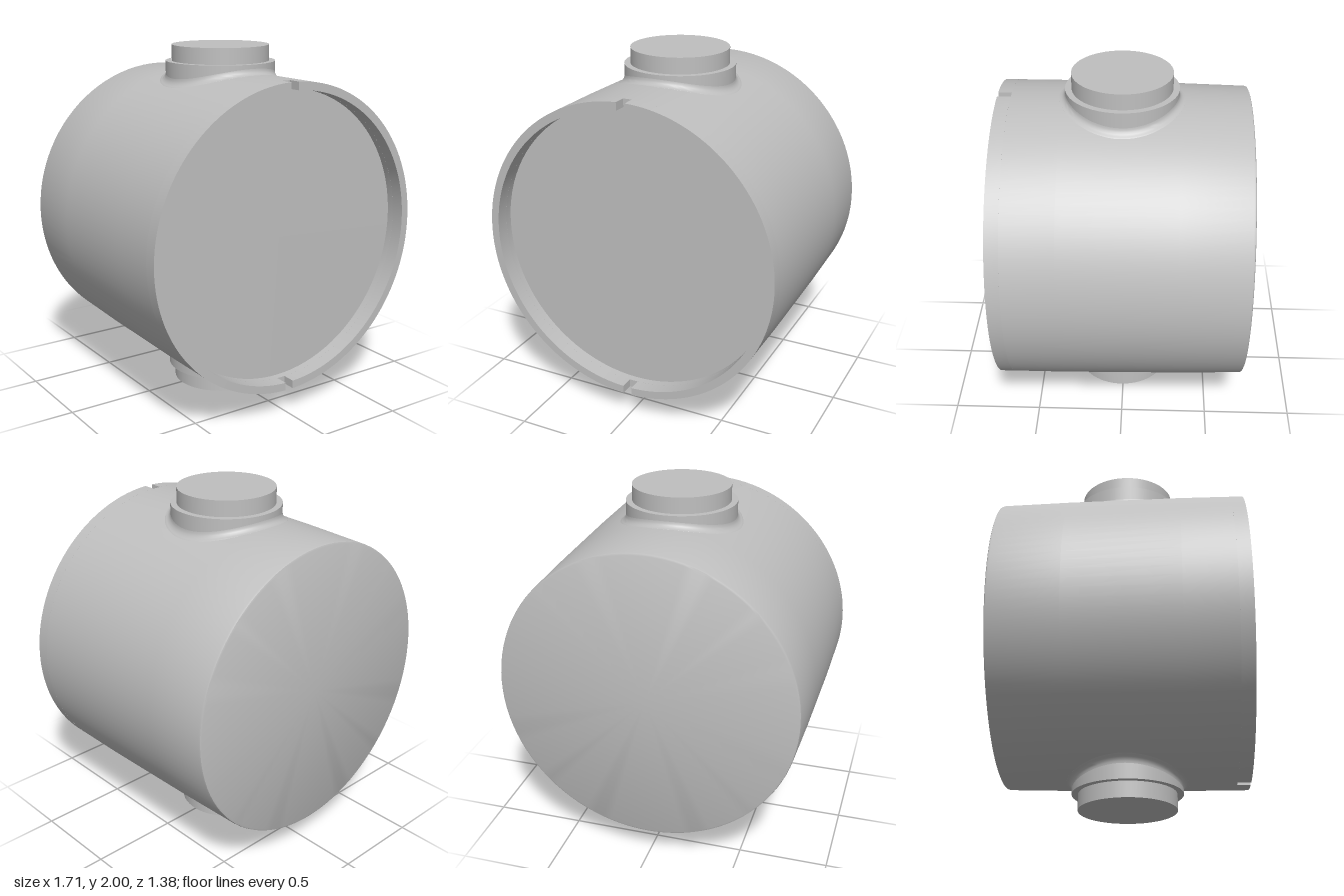
import * as THREE from 'three';
import { toCreasedNormals } from 'three/addons/utils/BufferGeometryUtils.js';

const R = 0.855, INNER = 0.81, FRONT = 0.69, NOTCH_Z = 0.615, FLOOR_Z = 0.575;
const STUB_Z = 0.01, COLLAR_R = 0.31, CAP_R = 0.275;

// Outer radius of the slightly tapered drum at depth z
function drumRadius(z) {
  if (z > 0.33) return R;
  if (z > -0.3) return THREE.MathUtils.mapLinear(z, -0.3, 0.33, 0.846, R);
  return THREE.MathUtils.mapLinear(z, -0.68, -0.3, 0.836, 0.846);
}

// Round stub with a stepped cap and a small fillet that follows the drum
function makeStub(material) {
  const stub = new THREE.Group();
  const profile = [new THREE.Vector2(COLLAR_R + 0.045, -0.015)];
  for (let i = 0; i <= 5; i++) {
    const t = (i / 5) * Math.PI / 2;
    profile.push(new THREE.Vector2(COLLAR_R + 0.032 * (1 - Math.sin(t)), 0.032 * (1 - Math.cos(t))));
  }
  const fillet = new THREE.LatheGeometry(profile, 64);
  const p = fillet.attributes.position;
  for (let i = 0; i < p.count; i++) {
    const r = drumRadius(p.getZ(i) + STUB_Z);
    p.setY(i, p.getY(i) + Math.sqrt(r * r - p.getX(i) ** 2));
  }
  const add = (name, geometry, y) => {
    const mesh = new THREE.Mesh(geometry, material);
    mesh.name = name;
    mesh.position.set(0, y, STUB_Z);
    stub.add(mesh);
  };
  add('stubFillet', toCreasedNormals(fillet, 0.6), 0);
  add('stubCollar', new THREE.CylinderGeometry(COLLAR_R, COLLAR_R, 0.21, 64), 0.805);
  add('stubCap', new THREE.CylinderGeometry(CAP_R, CAP_R, 0.2, 64), 0.9);
  return stub;
}

export function createModel() {
  const model = new THREE.Group();
  const grey = new THREE.MeshStandardMaterial({ color: 0xbfbfbf });
  grey.name = 'grey';

  // Drum: flat back with a small bevel, tapered side, shallow front recess
  const drumProfile = [
    [0, -0.69], [0.824, -0.69], [0.833, -0.686], [0.836, -0.677], [0.846, -0.3],
    [R, 0.33], [R, NOTCH_Z], [INNER, NOTCH_Z], [INNER, FLOOR_Z], [0, FLOOR_Z],
  ].map(([x, y]) => new THREE.Vector2(x, y));
  const drumGeometry = new THREE.LatheGeometry(drumProfile, 96);
  drumGeometry.rotateX(Math.PI / 2);
  const drum = new THREE.Mesh(toCreasedNormals(drumGeometry, 0.5), grey);
  drum.name = 'drum';
  drum.position.y = 1;
  model.add(drum);

  // Rim: two half rings leaving a notch at the top and the bottom
  const half = 0.025;
  const a = Math.acos(half / R), b = Math.acos(half / INNER);
  const rimShape = new THREE.Shape();
  rimShape.absarc(0, 0, R, -a, a, false);
  rimShape.absarc(0, 0, INNER, b, -b, true);
  const rimGeometry = toCreasedNormals(new THREE.ExtrudeGeometry(rimShape, {
    depth: FRONT - NOTCH_Z, bevelEnabled: false, curveSegments: 48,
  }), 0.5);
  for (const [name, turn] of [['leftRim', 0], ['rightRim', Math.PI]]) {
    const rim = new THREE.Mesh(rimGeometry, grey);
    rim.name = name;
    rim.position.set(0, 1, NOTCH_Z);
    rim.rotation.z = turn;
    model.add(rim);
  }

  // Stubs above and below
  for (const [name, turn] of [['topStub', 0], ['bottomStub', Math.PI]]) {
    const stub = makeStub(grey);
    stub.name = name;
    stub.position.y = 1;
    stub.rotation.z = turn;
    model.add(stub);
  }
  return model;
}
